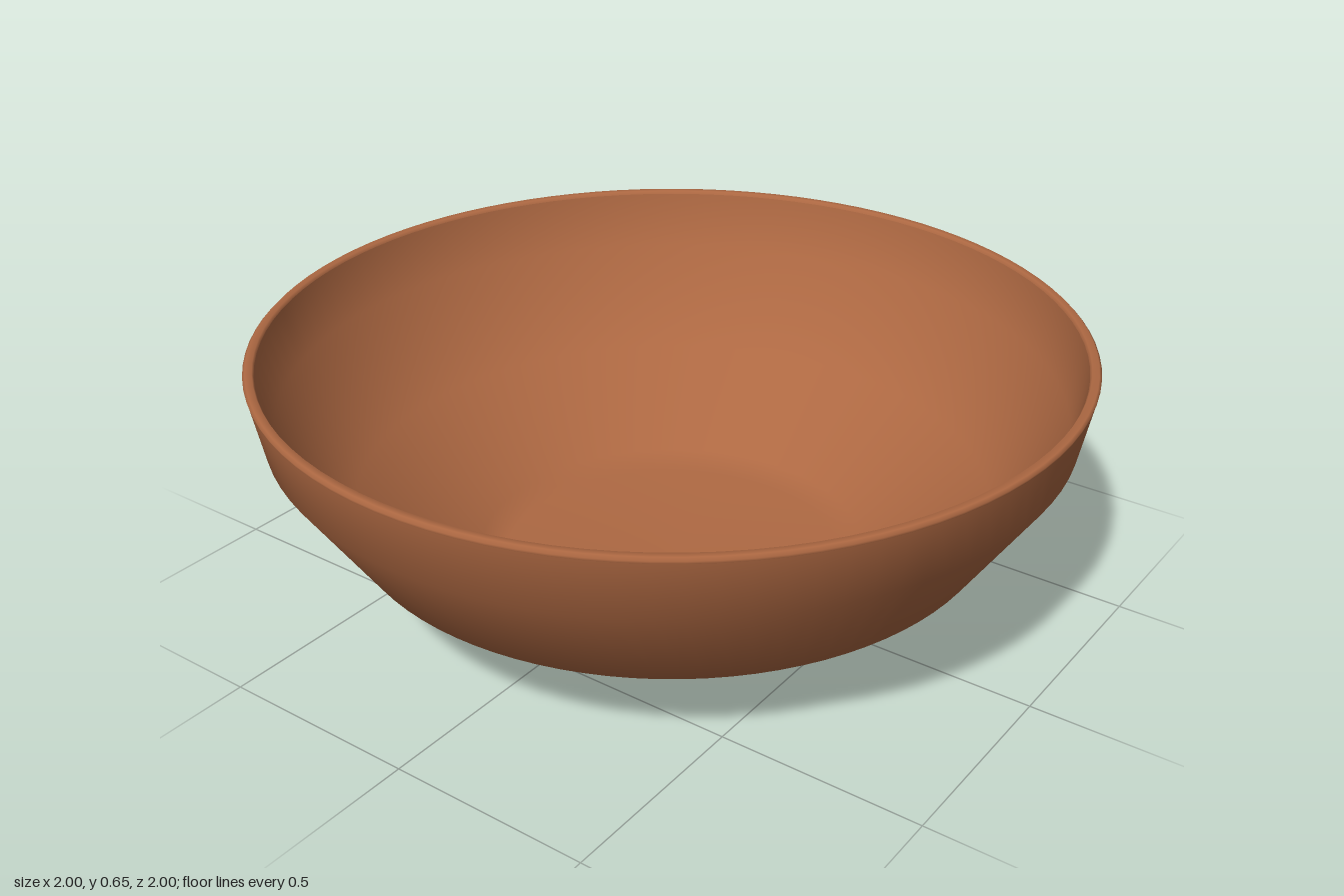
import * as THREE from 'three';

// Revolves a profile of [radius, height] points around the y axis.
function revolve(name, profile, material) {
  const points = profile.map(([r, y]) => new THREE.Vector2(r, y));
  const mesh = new THREE.Mesh(new THREE.LatheGeometry(points, 96), material);
  mesh.name = name;
  return mesh;
}

export function createModel() {
  const bowl = new THREE.Group();
  bowl.name = 'bowl';
  const clay = new THREE.MeshStandardMaterial({ color: 0xad6842 });
  clay.name = 'terracotta';

  // Foot and outer wall, running from the base centre up to the lip
  bowl.add(revolve('outerWall', [
    [0, 0], [0.45, 0], [0.5, 0.045], [0.8, 0.23], [0.97, 0.49], [0.998, 0.64],
  ], clay));

  // Thin rounded lip
  bowl.add(revolve('rim', [
    [0.998, 0.64], [1, 0.647], [0.994, 0.653], [0.978, 0.653], [0.974, 0.645],
  ], clay));

  // Inner wall, running from the lip down to the floor centre
  bowl.add(revolve('innerWall', [
    [0.974, 0.645], [0.945, 0.5], [0.78, 0.255], [0.485, 0.075], [0.43, 0.04], [0, 0.03],
  ], clay));

  return bowl;
}
